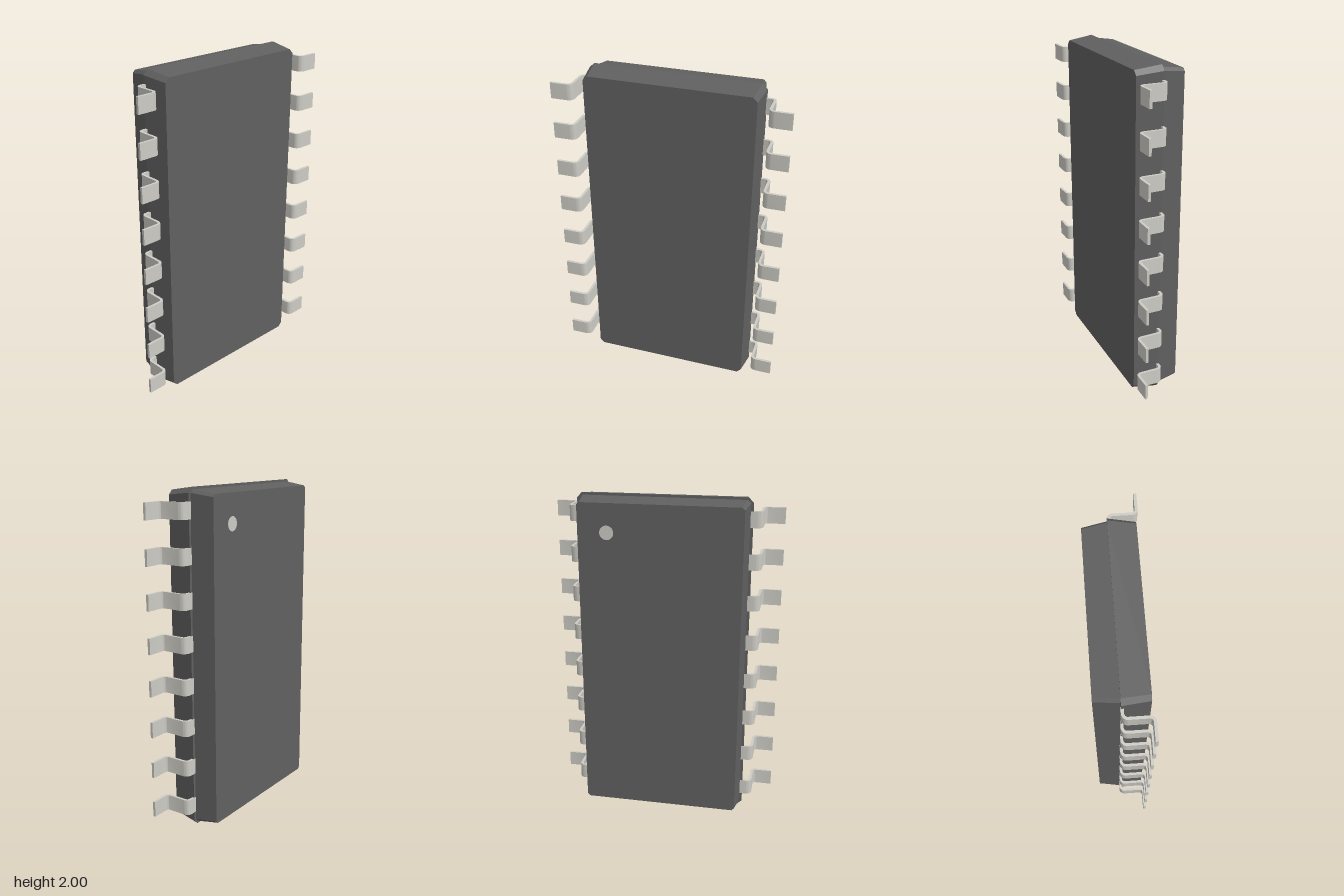
import * as THREE from 'three';
import { toCreasedNormals } from 'three/addons/utils/BufferGeometryUtils.js';

const bodyMat = new THREE.MeshStandardMaterial({ color: 0x606060 });
const metalMat = new THREE.MeshStandardMaterial({ color: 0xcccbc4 });
const MID = 1; // height of the body centre
const SEAM = -0.0155;

// Rectangle with cut corners, counter-clockwise seen from +z
function ring(w, h, c, z) {
  return [[w, c - h], [w, h - c], [w - c, h], [c - w, h], [-w, h - c], [-w, c - h], [c - w, -h], [w - c, -h]]
    .map(([x, y]) => [x, MID + y, z]);
}

// Flat-sided solid between two rings, back ring first
function loft(back, front) {
  const pos = [];
  const n = back.length;
  const tri = (a, b, c) => pos.push(...a, ...b, ...c);
  for (let i = 0; i < n; i++) {
    const j = (i + 1) % n;
    tri(back[i], back[j], front[j]);
    tri(back[i], front[j], front[i]);
  }
  for (let i = 1; i < n - 1; i++) {
    tri(front[0], front[i], front[i + 1]);
    tri(back[0], back[i + 1], back[i]);
  }
  const geo = new THREE.BufferGeometry();
  geo.setAttribute('position', new THREE.Float32BufferAttribute(pos, 3));
  geo.computeVertexNormals();
  return geo;
}

function arc(cx, cy, r, from, to) {
  const steps = 7;
  return Array.from({ length: steps + 1 }, (_, i) => {
    const a = THREE.MathUtils.degToRad(from + (to - from) * i / steps);
    return [cx + r * Math.cos(a), cy + r * Math.sin(a)];
  });
}

// Gull-wing strip: shoulder, bend, drop, bend, foot
function leadGeometry(side) {
  const big = 0.034, small = 0.018;
  const outline = [
    [0.49, 0.0175],
    ...arc(0.543, -0.0165, big, 90, 0),
    ...arc(0.595, -0.121, small, 180, 270),
    [0.695, -0.139], [0.695, -0.155],
    ...arc(0.595, -0.121, big, 270, 180),
    ...arc(0.543, -0.0165, small, 0, 90),
    [0.49, 0.0015],
  ].map(([x, y]) => new THREE.Vector2(side * x, y));
  const geo = new THREE.ExtrudeGeometry(new THREE.Shape(outline), { depth: 0.095, bevelEnabled: false });
  geo.translate(0, 0, -0.0475);
  geo.rotateX(-Math.PI / 2);
  return toCreasedNormals(geo, 0.6);
}

export function createModel() {
  const group = new THREE.Group();
  const add = (name, geo, mat) => {
    const mesh = new THREE.Mesh(geo, mat);
    mesh.name = name;
    group.add(mesh);
    return mesh;
  };

  // Two tapered halves of the package, the back one slightly smaller
  add('frontBody', loft(ring(0.52, 1, 0.03, SEAM), ring(0.499, 0.979, 0.026, 0.138)), bodyMat);
  add('backBody', loft(ring(0.484, 0.966, 0.016, -0.1545), ring(0.504, 0.986, 0.018, SEAM)), bodyMat);

  // Round orientation mark on the back face
  const mark = add('orientationMark', new THREE.CylinderGeometry(0.042, 0.042, 0.004, 32), metalMat);
  mark.rotation.x = Math.PI / 2;
  mark.position.set(0.31, 1.795, -0.1535);

  // Eight leads on each long side
  for (const side of [1, -1]) {
    const geo = leadGeometry(side);
    for (let i = 0; i < 8; i++) {
      const lead = add(side > 0 ? 'leftLead' : 'rightLead', geo, metalMat);
      lead.position.y = 0.132 + i * 0.249;
    }
  }
  return group;
}
